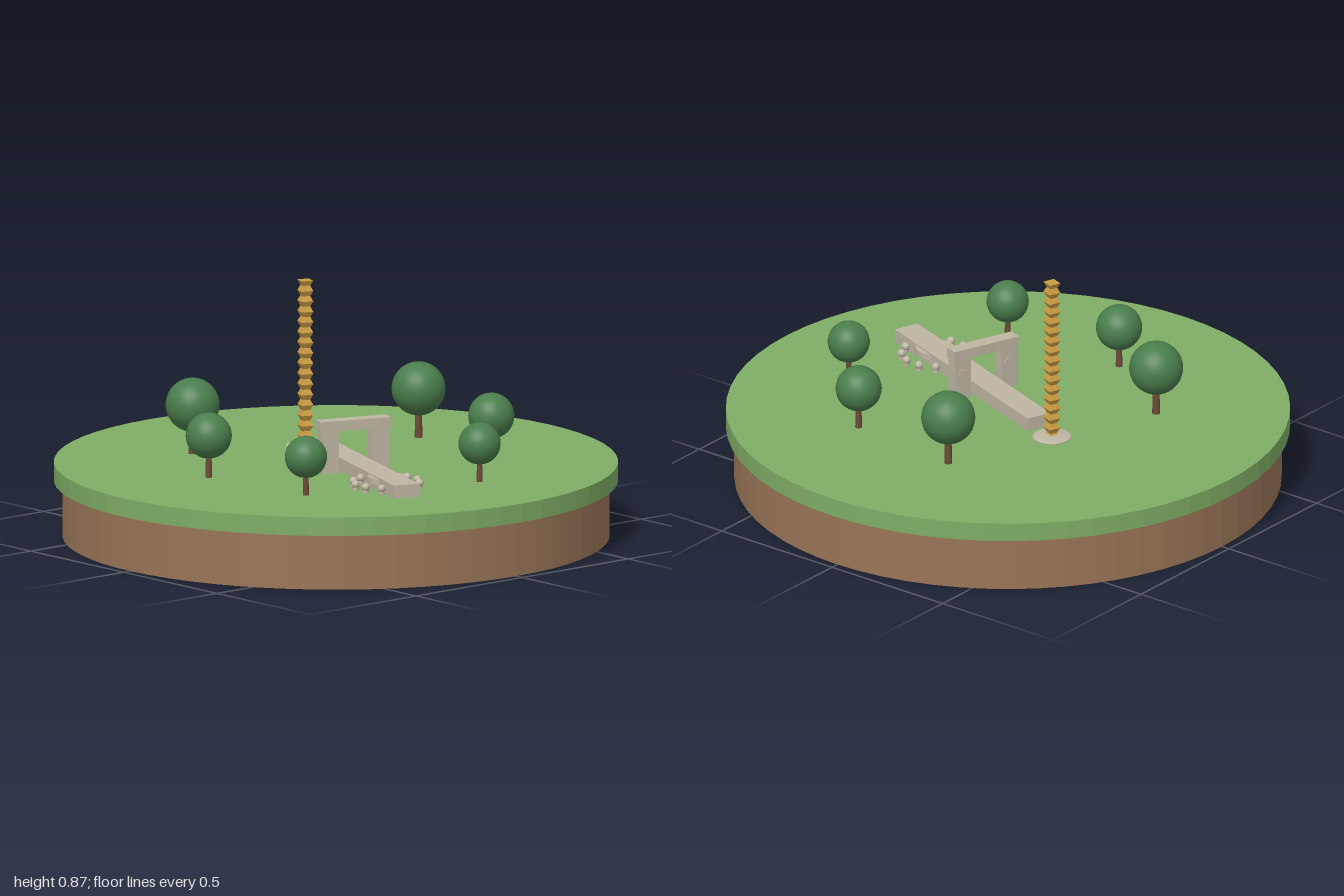
import * as THREE from 'three';

const mat = (name, color, flatShading = false) => {
  const m = new THREE.MeshStandardMaterial({ color, flatShading });
  m.name = name;
  return m;
};

export function createModel() {
  const grass = mat('grass', 0x7fad66, true);
  const soil = mat('soil', 0x9a7557, true);
  const stone = mat('stone', 0xbfb5a3);
  const gold = mat('gold', 0xc99c42, true);
  const bark = mat('bark', 0x6e4a38);
  const leaves = mat('leaves', 0x4a7d4c);

  const G = 0.267; // lawn level
  const root = new THREE.Group();
  root.name = 'sculpturePark';

  const add = (parent, name, geo, material, x = 0, y = 0, z = 0) => {
    const m = new THREE.Mesh(geo, material);
    m.name = name;
    m.position.set(x, y, z);
    parent.add(m);
    return m;
  };
  const group = (parent, name, x = 0, y = 0, z = 0) => {
    const g = new THREE.Group();
    g.name = name;
    g.position.set(x, y, z);
    parent.add(g);
    return g;
  };
  const box = (w, h, d) => new THREE.BoxGeometry(w, h, d);

  // Round island
  add(root, 'soilBase', new THREE.CylinderGeometry(0.97, 0.97, 0.2, 64), soil, 0, 0.1, 0);
  add(root, 'lawn', new THREE.CylinderGeometry(1, 1, G - 0.2, 64), grass, 0, (G + 0.2) / 2, 0);

  // Trees: x, z, crown radius
  const trunkGeo = new THREE.CylinderGeometry(0.11, 0.15, 1.5, 12);
  const crownGeo = new THREE.SphereGeometry(1, 28, 20);
  [
    [-0.29, -0.44, 0.096], [-0.525, -0.085, 0.082], [0.503, -0.13, 0.096],
    [0.46, 0.31, 0.082], [0.146, 0.605, 0.075], [-0.475, 0.38, 0.075],
  ].forEach(([x, z, r]) => {
    const tree = group(root, 'tree', x, G, z);
    tree.scale.setScalar(r);
    add(tree, 'trunk', trunkGeo, bark, 0, 0.75, 0);
    add(tree, 'crown', crownGeo, leaves, 0, 1.84, 0);
  });

  // Everything in stone and metal lies along one slanted axis
  const axis = group(root, 'sculptureAxis', -0.061, G, 0.162);
  axis.rotation.y = -Math.PI / 9;

  // Raised walkway
  add(axis, 'walkway', box(0.095, 0.047, 0.9), stone, 0, 0.0235, 0.071);

  // Gate with two pillars and a lintel
  const gate = group(axis, 'gate');
  add(gate, 'lintel', box(0.266, 0.037, 0.051), stone, 0, 0.1695, 0);
  for (const s of [-1, 1]) {
    add(gate, 'pillar', box(0.065, 0.151, 0.047), stone, s * 0.096, 0.0755, 0);
    for (const f of [-1, 1]) {
      const disc = add(gate, 'pillarDisc', new THREE.CylinderGeometry(0.024, 0.024, 0.004, 24),
        stone, s * 0.096, 0.09, f * 0.0245);
      disc.rotation.x = Math.PI / 2;
    }
  }
  for (const f of [-1, 1]) {
    for (let i = -2; i <= 2; i++) {
      add(gate, 'lintelCarving', box(0.005, 0.02, 0.003), stone, i * 0.05, 0.17, f * 0.026);
    }
  }

  // Round table with twelve stools
  const table = group(axis, 'table', 0, 0, 0.326);
  add(table, 'tableTop', new THREE.CylinderGeometry(0.068, 0.068, 0.02, 32), stone, 0, 0.032, 0);
  add(table, 'tableFoot', new THREE.CylinderGeometry(0.042, 0.042, 0.022, 32), stone, 0, 0.011, 0);
  const stoolFoot = new THREE.CylinderGeometry(0.011, 0.012, 0.018, 12);
  const stoolSeat = new THREE.SphereGeometry(0.015, 16, 12);
  for (let i = 0; i < 12; i++) {
    const a = (i / 12) * Math.PI * 2;
    const stool = group(table, 'stool', 0.118 * Math.cos(a), 0, 0.118 * Math.sin(a));
    add(stool, 'stoolFoot', stoolFoot, stone, 0, 0.009, 0);
    add(stool, 'stoolSeat', stoolSeat, stone, 0, 0.02, 0);
  }

  // Tall zigzag column on a low round plinth
  const column = group(axis, 'column', 0, 0, -0.468);
  const plinth = add(column, 'plinth', new THREE.SphereGeometry(0.07, 32, 16), stone, 0, 0.002, 0);
  plinth.scale.y = 0.16;
  const n = 16, h = 0.6 / n, wide = 0.044, thin = 0.027;
  const profile = [new THREE.Vector2(0, 0)];
  for (let i = 0; i <= n * 2; i++) {
    const side = i % 2 ? thin : wide;
    profile.push(new THREE.Vector2(side * Math.SQRT1_2, (i * h) / 2));
  }
  profile.push(new THREE.Vector2(0, 0.6));
  add(column, 'zigzagShaft', new THREE.LatheGeometry(profile, 4, Math.PI / 4), gold);

  return root;
}
